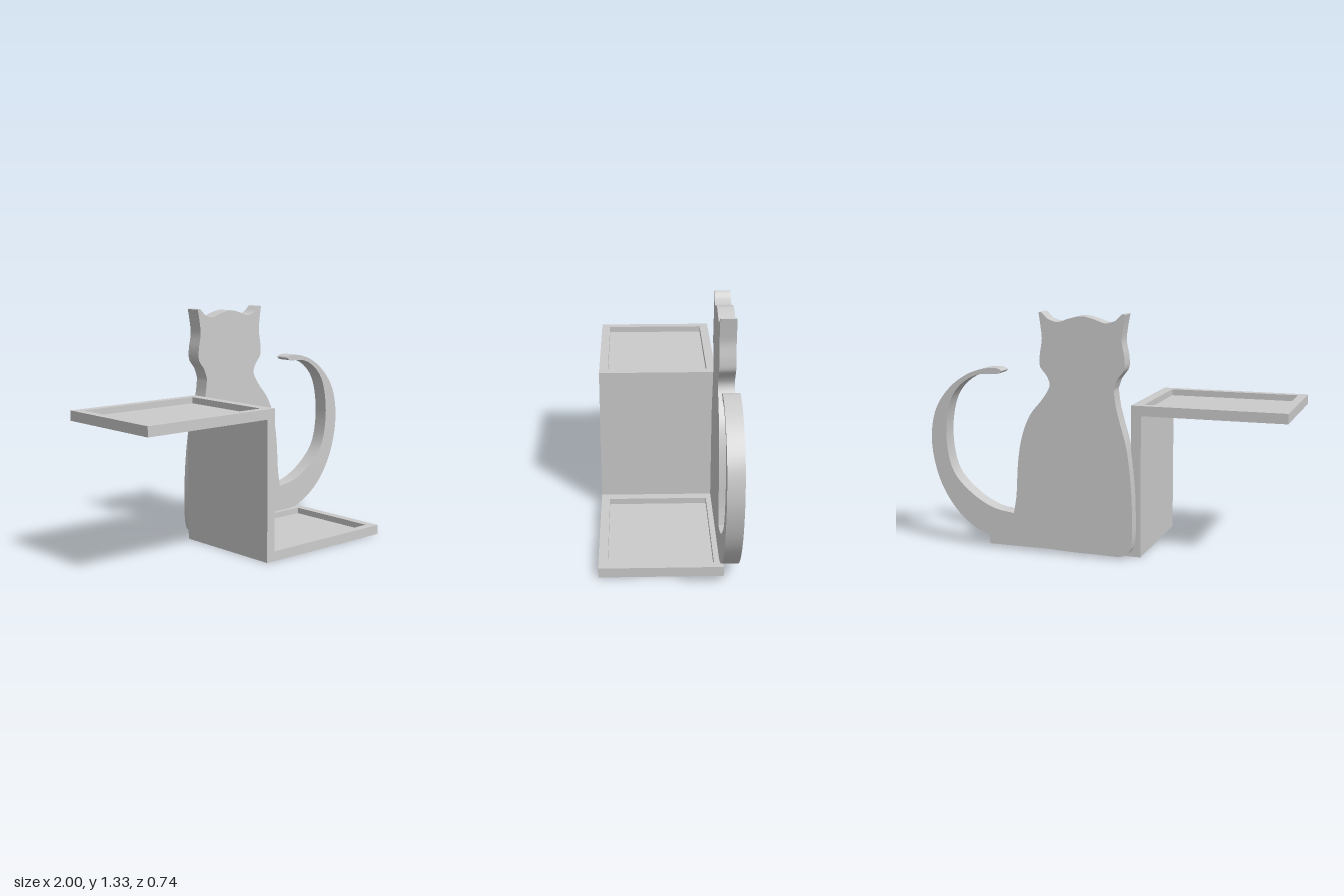
import * as THREE from 'three';
import { toCreasedNormals } from 'three/addons/utils/BufferGeometryUtils.js';

const material = new THREE.MeshStandardMaterial({ color: 0xcccccc });
const BACK = -0.3, FRONT = 0.37, THICK = 0.055;

function addBox(group, name, x0, x1, y0, y1, z0, z1) {
  const mesh = new THREE.Mesh(new THREE.BoxGeometry(x1 - x0, y1 - y0, z1 - z0), material);
  mesh.position.set((x0 + x1) / 2, (y0 + y1) / 2, (z0 + z1) / 2);
  mesh.name = name;
  group.add(mesh);
}

function rectangle(path, x0, x1, y0, y1) {
  path.moveTo(x0, y0);
  path.lineTo(x1, y0);
  path.lineTo(x1, y1);
  path.lineTo(x0, y1);
  path.closePath();
  return path;
}

// Shallow tray: a thin floor with a raised rim around a recess
function addTray(group, name, x0, x1, y, inner0, inner1) {
  const tray = new THREE.Group();
  const floor = 0.02;
  tray.name = name;
  addBox(tray, name + 'Floor', x0, x1, y, y + floor, BACK, FRONT);
  const outline = rectangle(new THREE.Shape(), x0, x1, -FRONT, -BACK);
  outline.holes.push(rectangle(new THREE.Path(), inner0, inner1, -0.32, 0.25));
  const geometry = new THREE.ExtrudeGeometry(outline, { depth: THICK - floor, bevelEnabled: false });
  geometry.rotateX(-Math.PI / 2);
  const rim = new THREE.Mesh(geometry, material);
  rim.name = name + 'Rim';
  rim.position.y = y + floor;
  tray.add(rim);
  group.add(tray);
}

// Cat outline as smooth runs; sharp corners fall where the runs meet
const catRuns = [
  // chest, belly edge and rounded foot
  [[-0.08, 0.93], [-0.09, 0.85], [-0.112, 0.76], [-0.15, 0.62], [-0.175, 0.42], [-0.183, 0.25],
    [-0.18, 0.09], [-0.165, 0.04], [-0.125, 0.017], [0, 0.015], [0.2, 0.018], [0.45, 0.035], [0.64, 0.065],
    // outside of tail
    [0.74, 0.11], [0.84, 0.19], [0.93, 0.32], [0.98, 0.46], [0.998, 0.62], [0.965, 0.78], [0.88, 0.9],
    [0.77, 0.98], [0.66, 1.016], [0.585, 1.017], [0.565, 1.004], [0.585, 0.989],
    // inside of tail
    [0.7, 0.981], [0.79, 0.938], [0.86, 0.86], [0.898, 0.74], [0.905, 0.58], [0.865, 0.42],
    [0.75, 0.3], [0.62, 0.23], [0.505, 0.21]],
  // back, neck and cheek
  [[0.505, 0.21], [0.488, 0.31], [0.475, 0.5], [0.45, 0.645], [0.4, 0.77], [0.32, 0.87], [0.283, 0.94],
    [0.3, 0.99], [0.337, 1.04], [0.338, 1.1], [0.325, 1.19], [0.332, 1.26], [0.342, 1.33]],
  // ears and crown
  [[0.342, 1.33], [0.33, 1.333], [0.29, 1.298], [0.235, 1.282], [0.17, 1.302], [0.1, 1.316],
    [0.03, 1.302], [-0.035, 1.282], [-0.09, 1.298], [-0.13, 1.333], [-0.145, 1.33]],
  // other cheek
  [[-0.145, 1.33], [-0.132, 1.26], [-0.125, 1.19], [-0.14, 1.1], [-0.138, 1.04], [-0.1, 0.985], [-0.08, 0.93]],
];

function addCat(group) {
  const points = catRuns.flatMap((run) => {
    const curve = new THREE.CatmullRomCurve3(run.map(([x, y]) => new THREE.Vector3(x, y, 0)));
    return curve.getPoints((run.length - 1) * 5).slice(0, -1).map((p) => new THREE.Vector2(p.x, p.y));
  });
  const geometry = new THREE.ExtrudeGeometry(new THREE.Shape(points), { depth: 0.09, bevelEnabled: false });
  const cat = new THREE.Mesh(toCreasedNormals(geometry, 0.6), material);
  cat.position.z = -0.37;
  cat.name = 'catSilhouette';
  group.add(cat);
}

export function createModel() {
  const group = new THREE.Group();
  group.name = 'catShelf';
  addTray(group, 'upperTray', -1, -0.155, 0.785, -0.95, -0.215);
  addTray(group, 'lowerTray', -0.155, 0.685, 0, -0.1, 0.635);
  addBox(group, 'uprightPanel', -0.21, -0.155, 0, 0.785, BACK, FRONT);
  addCat(group);
  return group;
}
